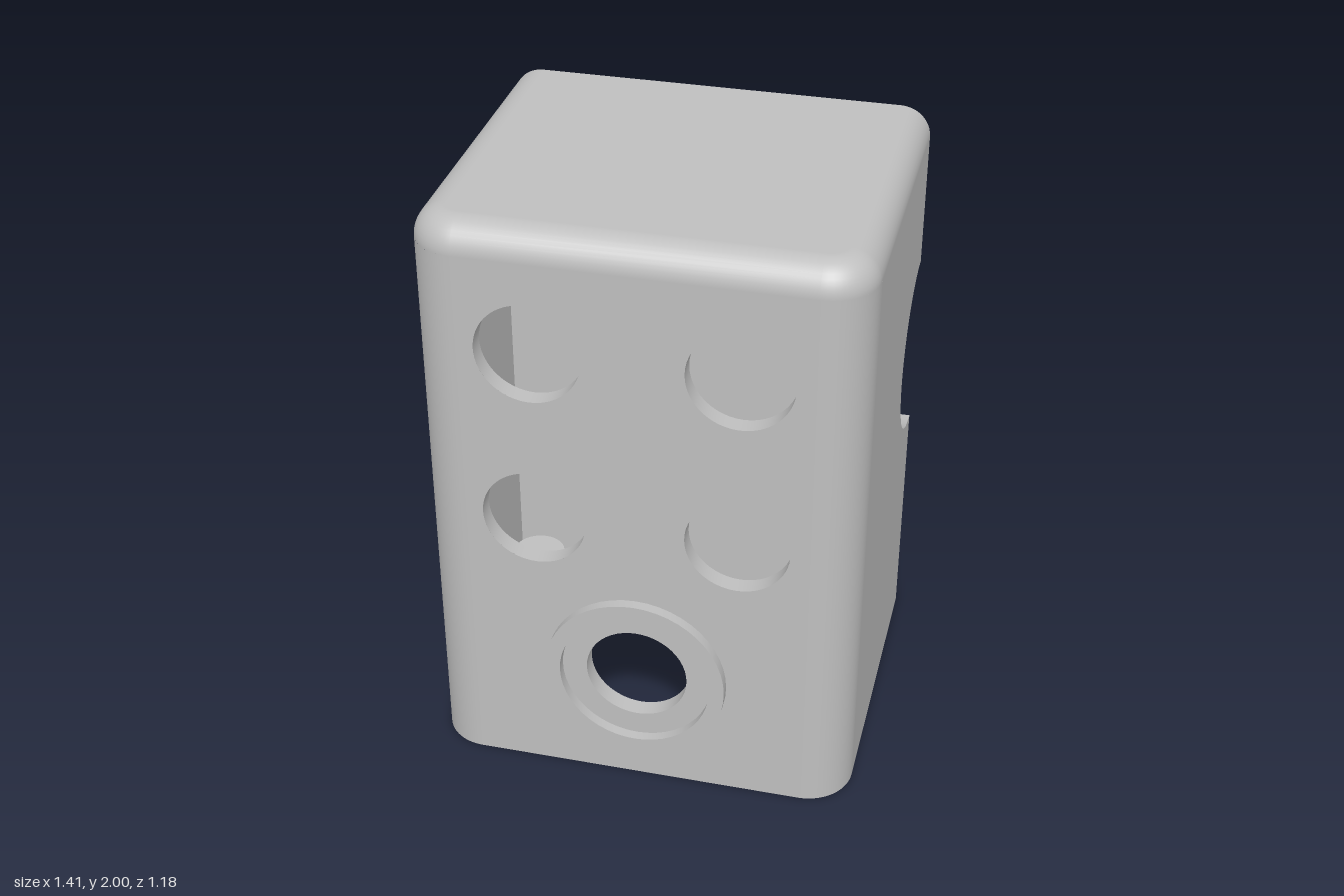
import * as THREE from 'three';
import { toCreasedNormals } from 'three/addons/utils/BufferGeometryUtils.js';

// Overall sizes
const W = 0.705, H = 2, FRONT = 0.555, BACK = -0.59;
const CORNER = 0.155, FILLET = 0.1;
const IN_X = 0.645, IN_FRONT = 0.495, IN_BACK = -0.25, IN_TOP = 1.94;
const GROOVE_Y = 1.13, GROOVE_R = 0.31;
const PORT_Y = 0.425, HOLE_R = 0.168;
const WINDOWS = [[-0.327, 1.595], [0.327, 1.595], [-0.327, 0.995], [0.327, 0.995]];

const V = (x, y) => new THREE.Vector2(x, y);

function rect(x0, y0, x1, y1) {
  return new THREE.Shape([V(x0, y0), V(x1, y0), V(x1, y1), V(x0, y1)]);
}

function addHole(shape, x, y, r) {
  shape.holes.push(new THREE.Path().absarc(x, y, r, 0, Math.PI * 2, true));
}

const flat = (shape) => new THREE.ShapeGeometry(shape, 32);

// Turned surface; profiles run upward for outer faces, downward for bores
function turned(points, start = 0, length = Math.PI * 2, segments = 48) {
  const geo = new THREE.LatheGeometry(points.map((p) => V(...p)), segments, start, length);
  return toCreasedNormals(geo, 0.7);
}

// Rounded plan outline, from back right around the front to back left
function plan(inset) {
  const pts = [{ x: -W + inset, z: BACK, nx: -1, nz: 0 }];
  for (const s of [-1, 1]) {
    for (let i = 0; i <= 12; i++) {
      const t = (i / 12) * Math.PI / 2;
      const a = s < 0 ? t : Math.PI / 2 - t;
      const nx = s * Math.cos(a), nz = Math.sin(a), r = CORNER - inset;
      pts.push({ x: s * (W - CORNER) + r * nx, z: FRONT - CORNER + r * nz, nx, nz });
    }
  }
  pts.push({ x: W - inset, z: BACK, nx: 1, nz: 0 });
  return pts;
}

// Rounded upper edge along the front and both sides
function topFillet() {
  const pos = [], nor = [], idx = [], rows = 10, n = plan(0).length;
  for (let j = 0; j <= rows; j++) {
    const t = (j / rows) * Math.PI / 2, c = Math.cos(t), s = Math.sin(t);
    for (const p of plan(FILLET * (1 - c))) {
      pos.push(p.x, H - FILLET + FILLET * s, p.z);
      nor.push(p.nx * c, s, p.nz * c);
    }
  }
  for (let j = 0; j < rows; j++) {
    for (let i = 0; i < n - 1; i++) {
      const a = j * n + i, b = a + 1, c = b + n, d = a + n;
      idx.push(a, b, c, a, c, d);
    }
  }
  const g = new THREE.BufferGeometry();
  g.setAttribute('position', new THREE.Float32BufferAttribute(pos, 3));
  g.setAttribute('normal', new THREE.Float32BufferAttribute(nor, 3));
  g.setIndex(idx);
  return g;
}

// Side outline with the half-round notch; s mirrors it
function sideShape(s) {
  const pts = [V(s * (CORNER - FRONT), 0), V(-s * BACK, 0)];
  for (let i = 0; i <= 32; i++) {
    const a = -Math.PI / 2 + (i / 32) * Math.PI;
    pts.push(V(s * (-BACK - GROOVE_R * Math.cos(a)), GROOVE_Y + GROOVE_R * Math.sin(a)));
  }
  pts.push(V(-s * BACK, H - FILLET), V(s * (CORNER - FRONT), H - FILLET));
  return new THREE.Shape(pts);
}

export function createModel() {
  const group = new THREE.Group();
  group.name = 'housing';
  const grey = new THREE.MeshStandardMaterial({ color: 0xbfbfbf });
  grey.name = 'grey';
  const add = (name, geo) => {
    const mesh = new THREE.Mesh(geo, grey);
    mesh.name = name;
    group.add(mesh);
    return mesh;
  };

  // Front panel, outside and inside faces
  const front = rect(CORNER - W, 0, W - CORNER, H - FILLET);
  const inner = rect(-IN_X, 0, IN_X, IN_TOP);
  for (const [x, y] of WINDOWS) {
    addHole(front, x, y, HOLE_R);
    addHole(inner, x, y, HOLE_R);
    add('windowRim', turned([[HOLE_R, FRONT], [HOLE_R, IN_FRONT]])
      .rotateX(Math.PI / 2).translate(x, y, 0));
  }
  addHole(front, 0, PORT_Y, 0.29);
  addHole(inner, 0, PORT_Y, HOLE_R);
  add('frontPanel', flat(front).translate(0, 0, FRONT));
  add('frontPanelInside', flat(inner).rotateY(Math.PI).translate(0, 0, IN_FRONT));

  // Raised stepped port
  add('portRing', turned([[0.3, FRONT], [0.3, 0.59], [0.25, 0.59], [0.25, FRONT],
    [HOLE_R, FRONT], [HOLE_R, IN_FRONT]]).rotateX(Math.PI / 2).translate(0, PORT_Y, 0));

  // Sides, rounded corners and inner side walls
  const depth = IN_FRONT - IN_BACK, midZ = (IN_FRONT + IN_BACK) / 2;
  for (const s of [1, -1]) {
    const side = s > 0 ? 'left' : 'right';
    add(side + 'Side', flat(sideShape(s)).rotateY(s * Math.PI / 2).translate(s * W, 0, 0));
    add(side + 'Corner', turned([[CORNER, 0], [CORNER, H - FILLET]],
      s > 0 ? 0 : -Math.PI / 2, Math.PI / 2, 16)
      .translate(s * (W - CORNER), 0, FRONT - CORNER));
    add(side + 'InnerWall', new THREE.PlaneGeometry(depth, IN_TOP)
      .rotateY(-s * Math.PI / 2).translate(s * IN_X, IN_TOP / 2, midZ));
  }

  // Top
  add('topFillet', topFillet());
  add('topFace', flat(new THREE.Shape(plan(FILLET).map((p) => V(p.x, -p.z))))
    .rotateX(-Math.PI / 2).translate(0, H, 0));

  // Back faces above and below the groove
  const lower = rect(-W, 0, W, GROOVE_Y - GROOVE_R);
  const upper = new THREE.Shape();
  upper.moveTo(-W, GROOVE_Y + GROOVE_R);
  upper.lineTo(W, GROOVE_Y + GROOVE_R);
  upper.absarc(W - FILLET, H - FILLET, FILLET, 0, Math.PI / 2, false);
  upper.absarc(FILLET - W, H - FILLET, FILLET, Math.PI / 2, Math.PI, false);
  for (const x of [-0.465, 0.465]) {
    for (const [shape, y] of [[lower, 0.71], [upper, 1.55]]) {
      addHole(shape, x, y, 0.078);
      add('screwHole', turned([[0.078, -BACK], [0.078, 0.34], [0, 0.34]])
        .rotateX(-Math.PI / 2).translate(x, y, 0));
    }
  }
  add('backLower', flat(lower).rotateY(Math.PI).translate(0, 0, BACK));
  add('backUpper', flat(upper).rotateY(Math.PI).translate(0, 0, BACK));
  add('grooveSurface', turned([[GROOVE_R, W], [GROOVE_R, -W]], -Math.PI / 2, Math.PI, 32)
    .rotateZ(Math.PI / 2).translate(0, GROOVE_Y, BACK));

  // Cavity back, ceiling and open bottom rim
  add('innerBack', new THREE.PlaneGeometry(IN_X * 2, IN_TOP).translate(0, IN_TOP / 2, IN_BACK));
  add('innerCeiling', new THREE.PlaneGeometry(IN_X * 2, depth)
    .rotateX(Math.PI / 2).translate(0, IN_TOP, midZ));
  const rim = new THREE.Shape(plan(0).map((p) => V(p.x, p.z)));
  rim.holes.push(rect(-IN_X, IN_BACK, IN_X, IN_FRONT));
  add('bottomRim', flat(rim).rotateX(Math.PI / 2));

  // Screw posts in the open bottom
  const post = turned([[0, 0.25], [0.05, 0.25], [0.05, 0.01], [0.09, 0.01], [0.09, 0.33], [0, 0.33]]);
  for (const x of [-0.545, 0.545]) {
    for (const z of [-0.14, 0.385]) add('screwPost', post).position.set(x, 0, z);
  }
  return group;
}
